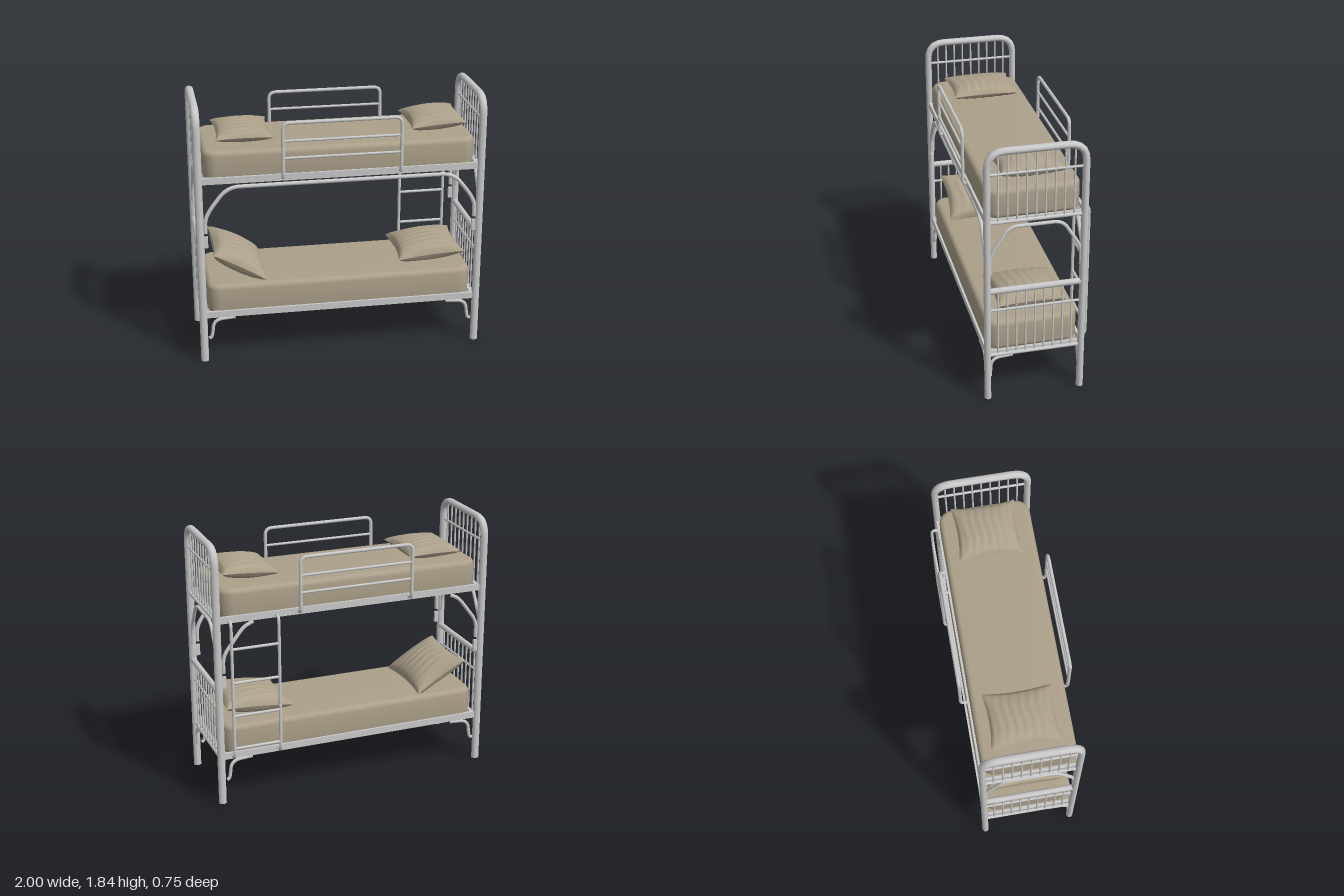
import * as THREE from 'three';
import { mergeGeometries, toCreasedNormals } from 'three/addons/utils/BufferGeometryUtils.js';

const V = (x, y, z) => new THREE.Vector3(x, y, z);
const FRONT = 0.33, BACK = -0.31, MID = 0.01, END = 0.972;

export function createModel() {
  const model = new THREE.Group();
  model.name = 'bunkBed';
  const metal = new THREE.MeshStandardMaterial({ color: 0xc9c9ca });
  metal.name = 'pale grey metal';
  const fabric = new THREE.MeshStandardMaterial({ color: 0xaca08a });
  fabric.name = 'tan fabric';

  function add(name, geometry, material = metal, parent = model) {
    const mesh = new THREE.Mesh(geometry, material);
    mesh.name = name;
    parent.add(mesh);
    return mesh;
  }

  function box(name, w, h, d, x, y, z, material = metal) {
    return add(name, new THREE.BoxGeometry(w, h, d).translate(x, y, z), material);
  }

  // Straight capped bar between two points
  function bar(name, a, b, r, parent = model) {
    const dir = b.clone().sub(a);
    const mesh = add(name, new THREE.CylinderGeometry(r, r, dir.length(), 12), metal, parent);
    mesh.position.copy(a).add(b).multiplyScalar(0.5);
    mesh.quaternion.setFromUnitVectors(V(0, 1, 0), dir.normalize());
    return mesh;
  }

  // Path of straight runs whose inner corners are rounded
  function bentPath(points, bend) {
    const path = new THREE.CurvePath();
    let from = points[0];
    for (let i = 1; i < points.length - 1; i++) {
      const p = points[i];
      const toward = (q) => {
        const d = q.clone().sub(p), len = d.length();
        return p.clone().addScaledVector(d, Math.min(bend, len * 0.45) / len);
      };
      const a = toward(points[i - 1]), b = toward(points[i + 1]);
      path.add(new THREE.LineCurve3(from, a));
      path.add(new THREE.QuadraticBezierCurve3(a, p, b));
      from = b;
    }
    path.add(new THREE.LineCurve3(from, points[points.length - 1]));
    return path;
  }

  function pipe(name, points, r, bend, parent = model) {
    return add(name, new THREE.TubeGeometry(bentPath(points, bend), 120, r, 12), metal, parent);
  }

  // Head and foot ends: arched posts, spindles and cross bars
  for (const s of [-1, 1]) {
    const x = s * END;
    const frame = new THREE.Group();
    frame.name = s > 0 ? 'leftEndFrame' : 'rightEndFrame';
    model.add(frame);
    const arch = pipe('archedPosts', [
      V(0, 0, FRONT), V(0, 1.815, FRONT), V(0, 1.815, BACK), V(0, 0, BACK)], 0.0235, 0.12, frame);
    arch.scale.x = 1.17;
    arch.position.x = x;
    for (const z of [FRONT, BACK]) {
      add('postFoot', new THREE.CylinderGeometry(0.024, 0.024, 0.02, 16), metal, frame).position.set(x, 0.01, z);
    }
    bar('lowerTopBar', V(x, 0.825, FRONT + 0.015), V(x, 0.825, BACK - 0.015), 0.021, frame);
    for (const [low, high, cross] of [[0.335, 0.82, 0.68], [1.325, 1.805, 1.66]]) {
      bar('crossBar', V(x, cross, FRONT), V(x, cross, BACK), 0.009, frame);
      bar('endRail', V(x, low, FRONT), V(x, low, BACK), 0.013, frame);
      for (let i = -4; i <= 4; i++) {
        const z = MID + i * 0.062;
        const top = high > 1 && Math.abs(i) === 4 ? high - 0.015 : high;
        bar('spindle', V(x, low, z), V(x, top, z), 0.0065, frame);
      }
    }
    // End brace under the upper bunk
    pipe('endBrace', [V(x, 0.95, 0.312), V(x, 1.08, 0.312), V(x, 1.285, 0.185),
      V(x, 1.285, -0.165), V(x, 1.08, -0.292), V(x, 0.95, -0.292)], 0.012, 0.06, frame);
    // Curved bracket under the lower bunk, front corner only
    pipe('endBracket', [V(x, 0.17, 0.312), V(x, 0.31, 0.305), V(x, 0.32, 0.16)], 0.011, 0.1, frame);
  }

  // Long side braces, brackets and joint plates
  for (const z of [FRONT, BACK]) {
    if (z === FRONT) {
      pipe('sideBrace', [V(-0.935, 0.96, z), V(-0.935, 1.08, z), V(-0.78, 1.283, z),
        V(0.78, 1.283, z), V(0.935, 1.08, z), V(0.935, 0.96, z)], 0.014, 0.09);
    }
    for (const s of [-1, 1]) {
      if (z === BACK) {
        pipe('backBrace', [V(s * 0.935, 0.96, z), V(s * 0.935, 1.08, z), V(s * 0.79, 1.27, z),
          V(s * 0.72, 1.3, z)], 0.013, 0.06);
      }
      pipe('cornerBracket', [V(s * 0.935, 0.17, z), V(s * 0.915, 0.18, z), V(s * 0.9, 0.31, z),
        V(s * 0.75, 0.32, z)], 0.012, 0.11);
      box('jointPlate', 0.03, 0.08, 0.02, s * 0.935, 0.895, z);
    }
  }

  // Mattress with rounded corners and soft edges
  function mattress(name, bottom, top) {
    const b = 0.035, w = 0.935 - b, d = 0.315 - b, r = 0.06;
    const shape = new THREE.Shape();
    shape.moveTo(-w + r, -d);
    shape.lineTo(w - r, -d).absarc(w - r, -d + r, r, -Math.PI / 2, 0);
    shape.lineTo(w, d - r).absarc(w - r, d - r, r, 0, Math.PI / 2);
    shape.lineTo(-w + r, d).absarc(-w + r, d - r, r, Math.PI / 2, Math.PI);
    shape.lineTo(-w, -d + r).absarc(-w + r, -d + r, r, Math.PI, Math.PI * 1.5);
    const g = new THREE.ExtrudeGeometry(shape, {
      depth: top - bottom - 2 * b, bevelSize: b, bevelThickness: b, bevelSegments: 5, curveSegments: 8 });
    g.rotateX(-Math.PI / 2).translate(0, bottom + b, MID);
    add(name, toCreasedNormals(g, 0.7), fabric);
  }

  // Bunks: side rails, base panel and mattress
  for (const [name, y, top] of [['lower', 0.35, 0.558], ['upper', 1.333, 1.53]]) {
    for (const z of [FRONT, BACK]) box(name + 'SideRail', 1.92, 0.046, 0.02, 0, y, z);
    for (const s of [-1, 1]) box(name + 'EndAngle', 0.02, 0.03, 0.63, s * 0.95, y - 0.008, MID);
    box(name + 'BasePanel', 1.88, 0.012, 0.62, 0, y - 0.01, MID, fabric);
    mattress(name + 'Mattress', y - 0.01, top);
  }

  // Plump pillow: two swollen sheets with pinched corners and fine creases
  function pillow(name, hx, hz, h, x, y, z, tilt) {
    const sheets = [-1, 1].map((side) => {
      const g = new THREE.PlaneGeometry(2, 2, 28, 36).rotateX(-side * Math.PI / 2);
      const p = g.attributes.position;
      for (let i = 0; i < p.count; i++) {
        const u = p.getX(i), v = p.getZ(i);
        const edge = Math.max(0, (1 - u * u) * (1 - v * v));
        const crease = 0.004 * Math.sin(v * 24 + Math.sin(u * 4)) * Math.sqrt(edge);
        p.setXYZ(i, hx * u * (1 - 0.1 * (1 - v * v)),
          side * (h * Math.pow(edge, 0.42) + crease),
          hz * v * (1 - 0.09 * (1 - u * u)));
      }
      g.computeVertexNormals();
      return g;
    });
    const mesh = add(name, mergeGeometries(sheets), fabric);
    mesh.position.set(x, y, z);
    mesh.rotation.z = tilt;
  }
  pillow('upperRightPillow', 0.195, 0.235, 0.058, -0.645, 1.583, 0.005, 0);
  pillow('upperLeftPillow', 0.195, 0.22, 0.066, 0.698, 1.597, 0.002, 0.07);
  pillow('lowerRightPillow', 0.21, 0.275, 0.088, -0.7, 0.662, 0.005, -0.52);
  pillow('lowerLeftPillow', 0.24, 0.24, 0.085, 0.665, 0.638, 0.005, 0.08);

  // Guard rails on both sides of the upper bunk
  for (const [name, s, rail] of [['frontGuard', 1, FRONT], ['backGuard', -1, BACK]]) {
    const guard = new THREE.Group();
    guard.name = name;
    model.add(guard);
    const z = s * 0.363;
    pipe('guardFrame', [V(-0.403, 1.335, rail), V(-0.403, 1.335, z), V(-0.403, 1.72, z),
      V(0.403, 1.72, z), V(0.403, 1.335, z), V(0.403, 1.335, rail)], 0.012, 0.05, guard);
    for (const y of [1.475, 1.595]) bar('guardBar', V(-0.403, y, z), V(0.403, y, z), 0.009, guard);
  }

  // Ladder at the back
  const ladder = new THREE.Group();
  ladder.name = 'ladder';
  model.add(ladder);
  const lz = -0.364;
  for (const x of [0.56, 0.89]) {
    pipe('ladderSide', [V(x, 0.35, BACK), V(x, 0.35, lz), V(x, 1.325, lz), V(x, 1.325, BACK)], 0.011, 0.05, ladder);
  }
  for (const y of [0.42, 0.66, 0.9, 1.14]) bar('rung', V(0.56, y, lz), V(0.89, y, lz), 0.01, ladder);

  return model;
}
